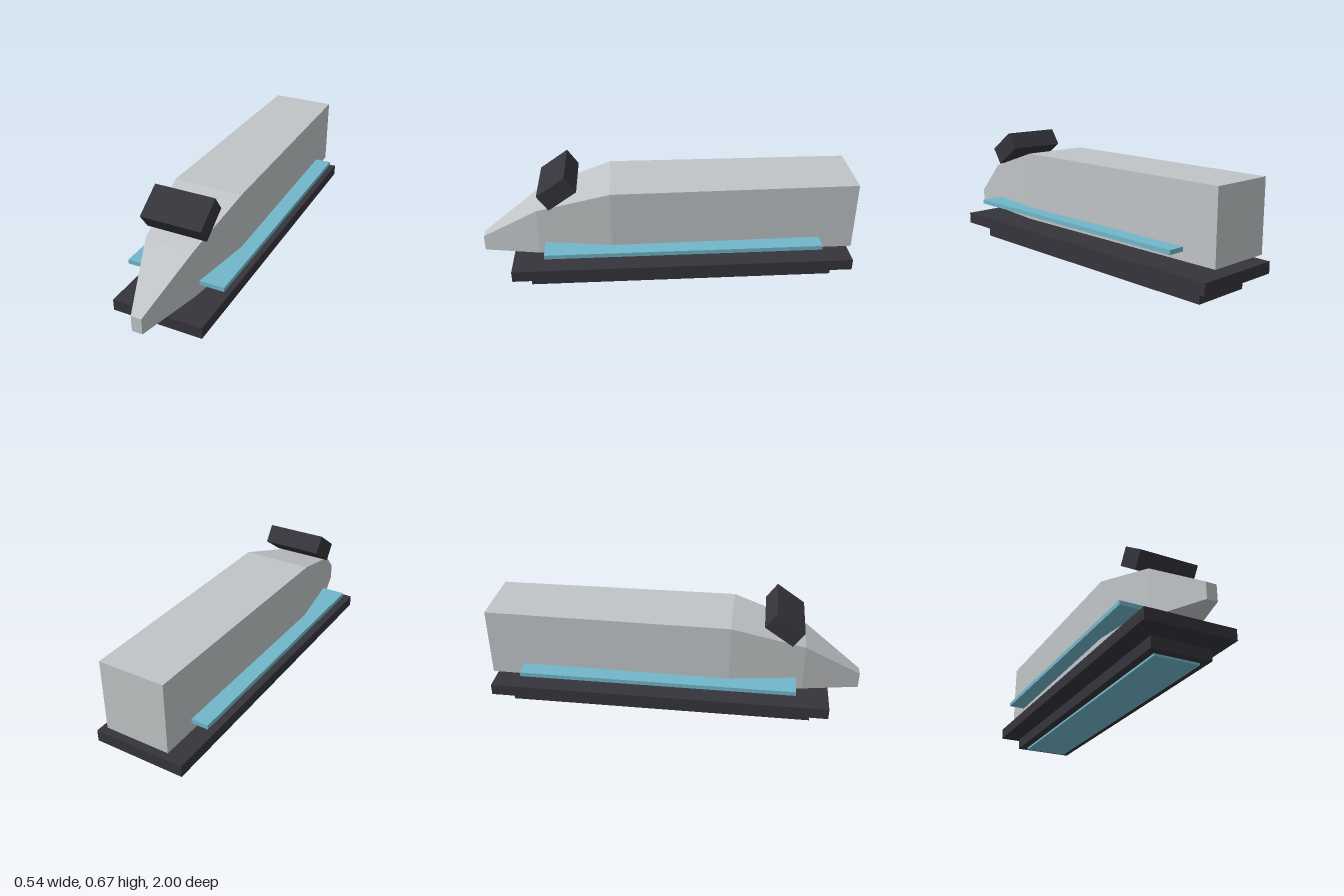
import * as THREE from 'three';

const material = (name, color) => {
  const m = new THREE.MeshStandardMaterial({ color });
  m.name = name;
  return m;
};

// Joins rectangular cross-sections [z, halfWidth, bottom, top], listed back to front
function loftRectangles(sections) {
  const rings = sections.map(([z, w, b, t]) => [[-w, b, z], [w, b, z], [w, t, z], [-w, t, z]]);
  const positions = [];
  const quad = (a, b, c, d) => positions.push(...a, ...b, ...c, ...a, ...c, ...d);
  for (let i = 0; i < rings.length - 1; i++) {
    for (let j = 0; j < 4; j++) {
      const k = (j + 1) % 4;
      quad(rings[i][j], rings[i][k], rings[i + 1][k], rings[i + 1][j]);
    }
  }
  const [a, b, c, d] = rings[0];
  quad(d, c, b, a);
  quad(...rings[rings.length - 1]);
  const geometry = new THREE.BufferGeometry();
  geometry.setAttribute('position', new THREE.Float32BufferAttribute(positions, 3));
  geometry.computeVertexNormals();
  return geometry;
}

export function createModel() {
  const model = new THREE.Group();
  model.name = 'hoverTrain';
  const grey = material('light grey', 0xc0c4c6);
  const dark = material('charcoal', 0x35343b);
  const blue = material('pale blue', 0x72b6ca);

  const add = (name, geometry, mat) => {
    const mesh = new THREE.Mesh(geometry, mat);
    mesh.name = name;
    model.add(mesh);
    return mesh;
  };
  // Box given by its limits on each axis
  const addBox = (name, mat, [x0, x1], [y0, y1], [z0, z1]) => {
    const mesh = add(name, new THREE.BoxGeometry(x1 - x0, y1 - y0, z1 - z0), mat);
    mesh.position.set((x0 + x1) / 2, (y0 + y1) / 2, (z0 + z1) / 2);
    return mesh;
  };

  // Hull with tapered nose
  add('hull', loftRectangles([
    [-1, 0.175, 0.202, 0.576],
    [0.3, 0.188, 0.202, 0.576],
    [0.69, 0.13, 0.198, 0.458],
    [1, 0.028, 0.163, 0.249],
  ]), grey);

  // Tilted windscreen block
  const windscreen = add('windscreen', new THREE.BoxGeometry(0.326, 0.101, 0.181), dark);
  windscreen.position.set(0, 0.573, 0.574);
  windscreen.rotation.x = 0.61;

  // Side fins
  addBox('leftFin', blue, [0.135, 0.268], [0.247, 0.27], [-0.815, 0.653]);
  addBox('rightFin', blue, [-0.268, -0.135], [0.247, 0.27], [-0.815, 0.653]);

  // Floating undercarriage and its glowing underside
  addBox('upperSkid', dark, [-0.245, 0.245], [0.094, 0.155], [-1, 0.837]);
  addBox('lowerSkid', dark, [-0.163, 0.163], [0.012, 0.072], [-0.907, 0.747]);
  addBox('glowPlate', blue, [-0.122, 0.122], [0, 0.012], [-0.862, 0.702]);

  return model;
}
